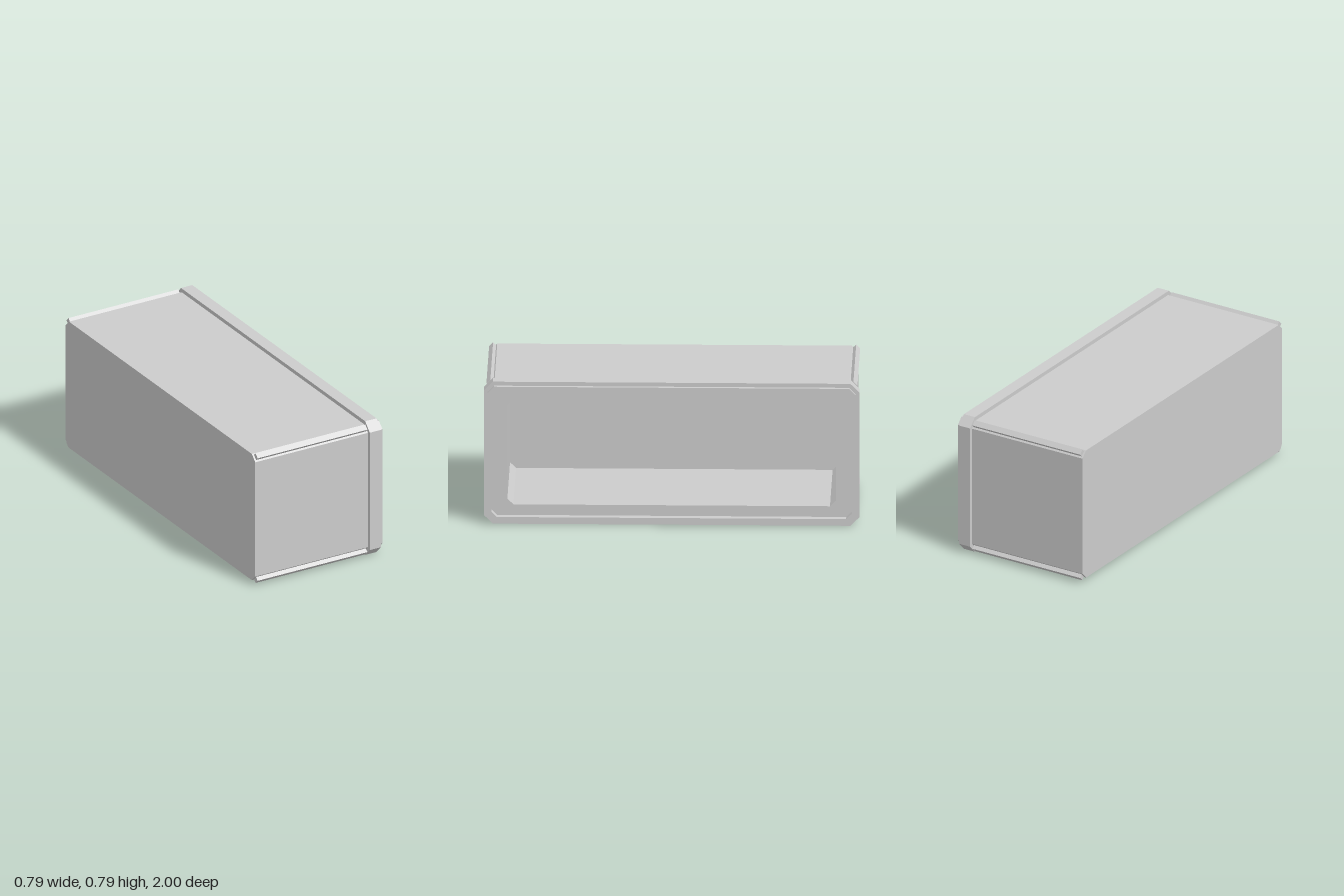
import * as THREE from 'three';

const MID_Y = 0.395;
const material = new THREE.MeshStandardMaterial({ color: 0xcccccc, flatShading: true });

// Rectangle with cut corners; half-width w runs along z, half-height h along y
function cutRect(w, h, c, Type = THREE.Shape) {
  return new Type([
    [w, -h + c], [w, h - c], [w - c, h], [-w + c, h],
    [-w, h - c], [-w, -h + c], [-w + c, -h], [w - c, -h],
  ].map(([x, y]) => new THREE.Vector2(x, y)));
}

// Extrude an outline along x from x0 to x1, with an optional hole
function section(name, x0, x1, outer, inner) {
  const shape = cutRect(...outer);
  if (inner) shape.holes.push(cutRect(...inner, THREE.Path));
  const geometry = new THREE.ExtrudeGeometry(shape, { depth: x1 - x0, bevelEnabled: false });
  geometry.rotateY(Math.PI / 2);
  const mesh = new THREE.Mesh(geometry, material);
  mesh.name = name;
  mesh.position.set(x0, MID_Y, 0);
  return mesh;
}

export function createModel() {
  const group = new THREE.Group();
  group.name = 'openContainer';

  const body = [0.98, 0.373, 0.035];
  const opening = [0.875, 0.293, 0.032];
  const recess = [0.96, 0.352, 0.03];

  // Hollow body: closed end, thick walls and a stepped mouth
  group.add(section('closedEnd', -0.395, -0.31, body));
  group.add(section('walls', -0.31, 0.355, body, opening));
  group.add(section('mouthRim', 0.355, 0.395, body, recess));

  // Raised band around the mouth
  group.add(section('collar', 0.305, 0.375, [1, 0.395, 0.048], [0.97, 0.363, 0.035]));

  // Slim strips lying on the four cut edges
  for (const sy of [-1, 1]) {
    for (const sz of [-1, 1]) {
      const strip = new THREE.Mesh(new THREE.BoxGeometry(0.682, 0.03, 0.024), material);
      strip.name = 'cornerStrip';
      strip.position.set(-0.044, MID_Y + sy * 0.364, sz * 0.969);
      strip.rotation.x = -sy * sz * Math.PI / 4;
      group.add(strip);
    }
  }
  return group;
}
